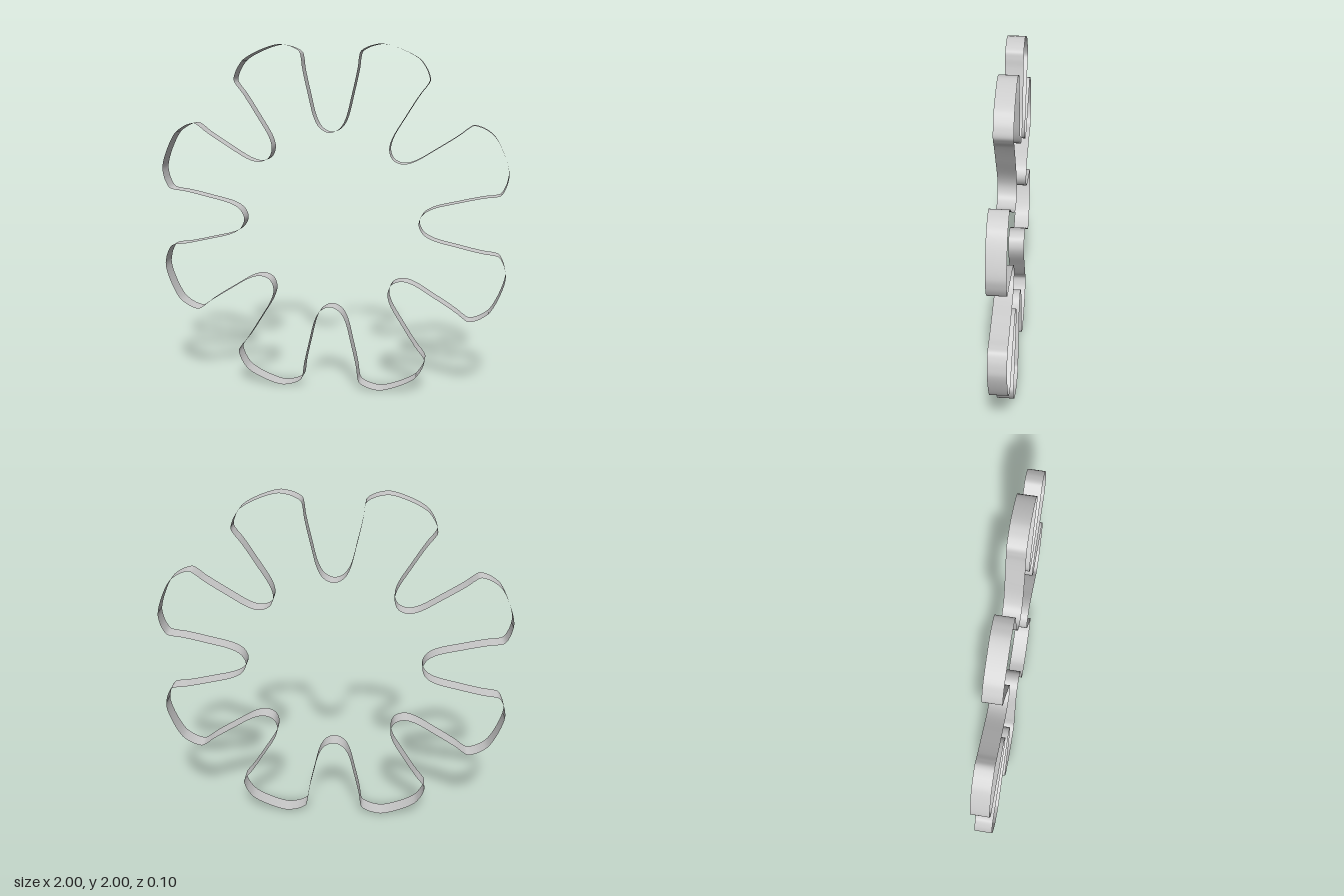
import * as THREE from 'three';
import { mergeVertices } from 'three/addons/utils/BufferGeometryUtils.js';

const LOBES = 8;
const DEPTH = 0.1;
const SEGMENTS = 960;

// Half of one lobe: [distance along the lobe axis, half width], from valley floor to just before the tip
const HALF_LOBE = [
  [0.508, 0.154], [0.569, 0.1416], [0.72, 0.162], [0.865, 0.188], [0.915, 0.202],
  [0.95, 0.206], [0.985, 0.182], [1.012, 0.15], [1.035, 0.107],
];
const TIP = [1.046, 0];
const VALLEY_RADIUS = 0.507;

// Closed outline, running counter-clockwise around the centre
function outline() {
  const lobe = [
    ...HALF_LOBE.map(([u, w]) => [u, -w]),
    TIP,
    ...[...HALF_LOBE].reverse(),
  ];
  const points = [];
  for (let i = 0; i < LOBES; i++) {
    const axis = ((i + 0.5) / LOBES) * Math.PI * 2;
    const valley = (i / LOBES) * Math.PI * 2;
    points.push(new THREE.Vector3(Math.cos(valley) * VALLEY_RADIUS, Math.sin(valley) * VALLEY_RADIUS, 0));
    for (const [u, w] of lobe) {
      points.push(new THREE.Vector3(
        u * Math.cos(axis) - w * Math.sin(axis),
        u * Math.sin(axis) + w * Math.cos(axis),
        0,
      ));
    }
  }
  return new THREE.CatmullRomCurve3(points, true, 'centripetal');
}

// Flat strip bent along the outline, with its two ends welded
function ribbonGeometry(curve) {
  const strip = new THREE.PlaneGeometry(1, DEPTH, SEGMENTS, 1);
  const pos = strip.attributes.position;
  const path = curve.getPoints(SEGMENTS);
  for (let i = 0; i < pos.count; i++) {
    const p = path[(i % (SEGMENTS + 1)) % SEGMENTS];
    pos.setXYZ(i, p.x, p.y + 1, pos.getY(i));
  }
  strip.deleteAttribute('uv');
  strip.deleteAttribute('normal');
  const geometry = mergeVertices(strip, 1e-5);
  geometry.computeVertexNormals();
  return geometry;
}

export function createModel() {
  const model = new THREE.Group();
  model.name = 'flowerRing';

  // Thin wavy band, open at front and back
  const material = new THREE.MeshStandardMaterial({ color: 0xcccccc, side: THREE.DoubleSide });
  const band = new THREE.Mesh(ribbonGeometry(outline()), material);
  band.name = 'wavyBand';
  model.add(band);

  return model;
}
